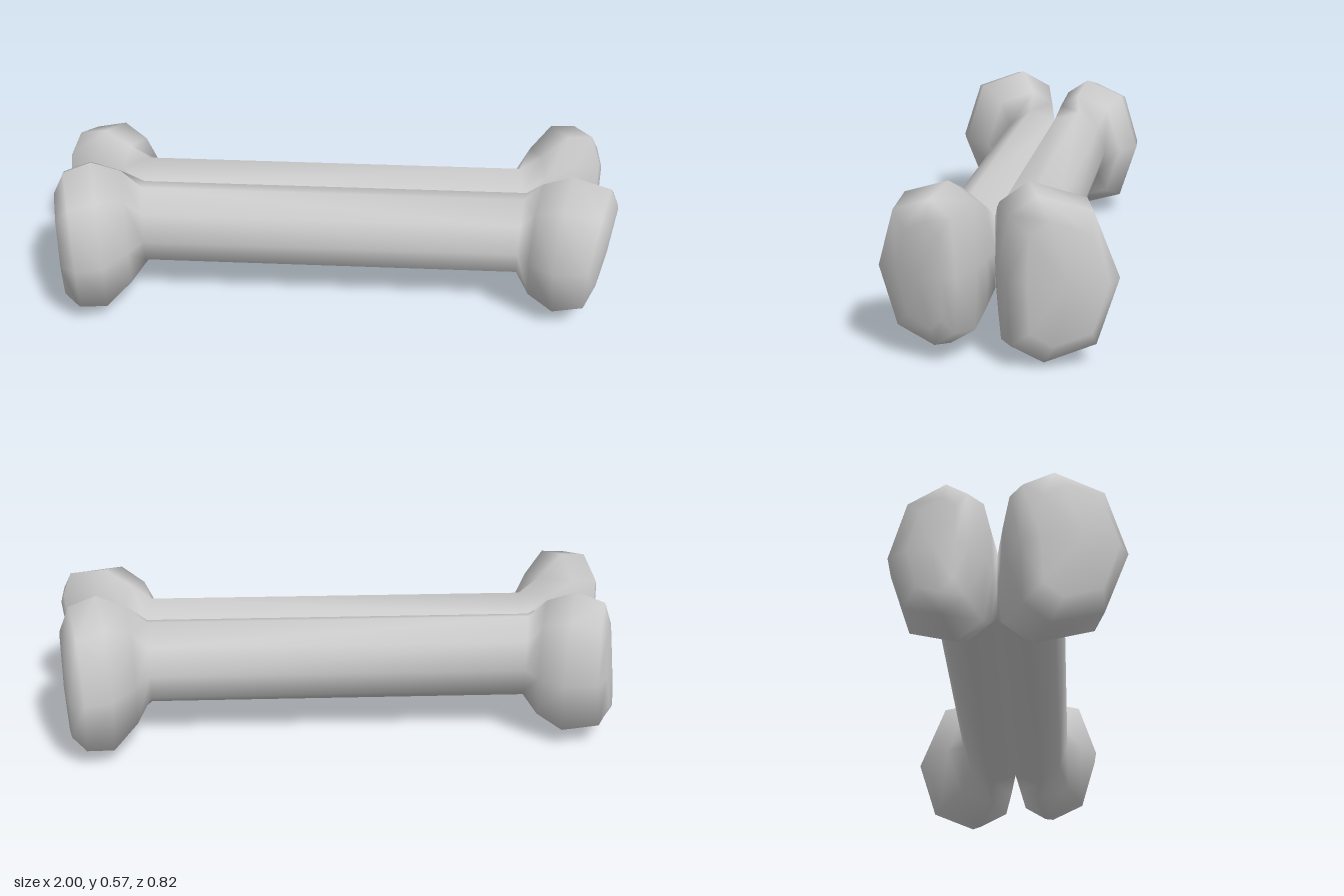
import * as THREE from 'three';

const SIDES = 8;
// Ring profiles: [across from inner to outer, height], starting at the inner middle and going up
const SHAFT = [[0, 0.5], [0, 0.88], [0.47, 1], [0.85, 0.81], [1, 0.5], [0.85, 0.19], [0.47, 0], [0, 0.12]];
const KNOB = [[0, 0.5], [0.03, 0.89], [0.3, 1], [0.78, 0.9], [1, 0.5], [0.78, 0.1], [0.3, 0], [0.03, 0.11]];

// Rings from the small knob (+x) to the big knob (-x):
// outer x, outer z, inner x, inner z, bottom y, top y, profile, lean across, lean along x
const RINGS = [
  [0.935, 0.26, 0.985, 0.11, 0.12, 0.47, KNOB, 0, 0.04],
  [0.89, 0.325, 0.97, 0.07, 0.06, 0.53, KNOB, 0, 0.03],
  [0.77, 0.33, 0.86, 0.025, 0.03, 0.555, KNOB, 0, 0],
  [0.69, 0.27, 0.76, 0.01, 0.075, 0.505, KNOB, 0, 0],
  [0.655, 0.212, 0.69, 0, 0.13, 0.445, SHAFT, 0, 0],
  [-0.66, 0.212, -0.68, 0, 0.13, 0.445, SHAFT, 0, 0],
  [-0.7, 0.28, -0.76, 0.012, 0.07, 0.51, KNOB, 0.04, 0],
  [-0.77, 0.385, -0.86, 0.035, 0.01, 0.575, KNOB, 0.07, 0],
  [-0.86, 0.41, -0.95, 0.08, 0.03, 0.555, KNOB, 0.07, 0],
  [-0.915, 0.385, -0.97, 0.145, 0.1, 0.49, KNOB, 0.05, 0],
];
const SHAFT_START = 4;
const MID_Y = 0.2875;

// One half of the bone; the other half is the same shape turned through the centre point
function lobeGeometry(inverted) {
  const pos = [], index = [];
  const vertex = (x, y, z) => (inverted ? pos.push(-x, 2 * MID_Y - y, -z) : pos.push(x, y, z));
  const face = (a, b, c) => (inverted ? index.push(a, c, b) : index.push(a, b, c));

  for (const [xo, zo, xi, zi, y0, y1, profile, lean, shear] of RINGS) {
    for (const [u, v] of profile) {
      const across = u + lean * (v - 0.5) * 4 * u * (1 - u);
      vertex(xi + (xo - xi) * across + shear * (v - 0.5), y0 + (y1 - y0) * v, zi + (zo - zi) * across);
    }
  }
  for (let i = 0; i < RINGS.length - 1; i++) {
    for (let j = 0; j < SIDES; j++) {
      // the shaft halves join at z = 0, so they need no inner wall
      if (i === SHAFT_START && (j === 0 || j === SIDES - 1)) continue;
      const k = (j + 1) % SIDES;
      const a = i * SIDES + j, b = i * SIDES + k, c = a + SIDES, d = b + SIDES;
      face(a, c, b);
      face(b, c, d);
    }
  }
  // rounded-over end faces
  for (const end of [0, RINGS.length - 1]) {
    const [xo, zo, xi, zi, y0, y1] = RINGS[end];
    const centre = pos.length / 3;
    vertex((xo + xi) / 2 + (end ? -0.008 : 0.008), (y0 + y1) / 2, (zo + zi) / 2);
    for (let j = 0; j < SIDES; j++) {
      const a = end * SIDES + j, b = end * SIDES + ((j + 1) % SIDES);
      if (end) face(centre, b, a);
      else face(centre, a, b);
    }
  }
  const geometry = new THREE.BufferGeometry();
  geometry.setAttribute('position', new THREE.Float32BufferAttribute(pos, 3));
  geometry.setIndex(index);
  geometry.computeVertexNormals();
  return geometry;
}

export function createModel() {
  const group = new THREE.Group();
  group.name = 'bone';
  const material = new THREE.MeshStandardMaterial({ color: 0xcccccc });
  for (const [name, inverted] of [['frontHalf', false], ['backHalf', true]]) {
    const mesh = new THREE.Mesh(lobeGeometry(inverted), material);
    mesh.name = name;
    group.add(mesh);
  }
  return group;
}
